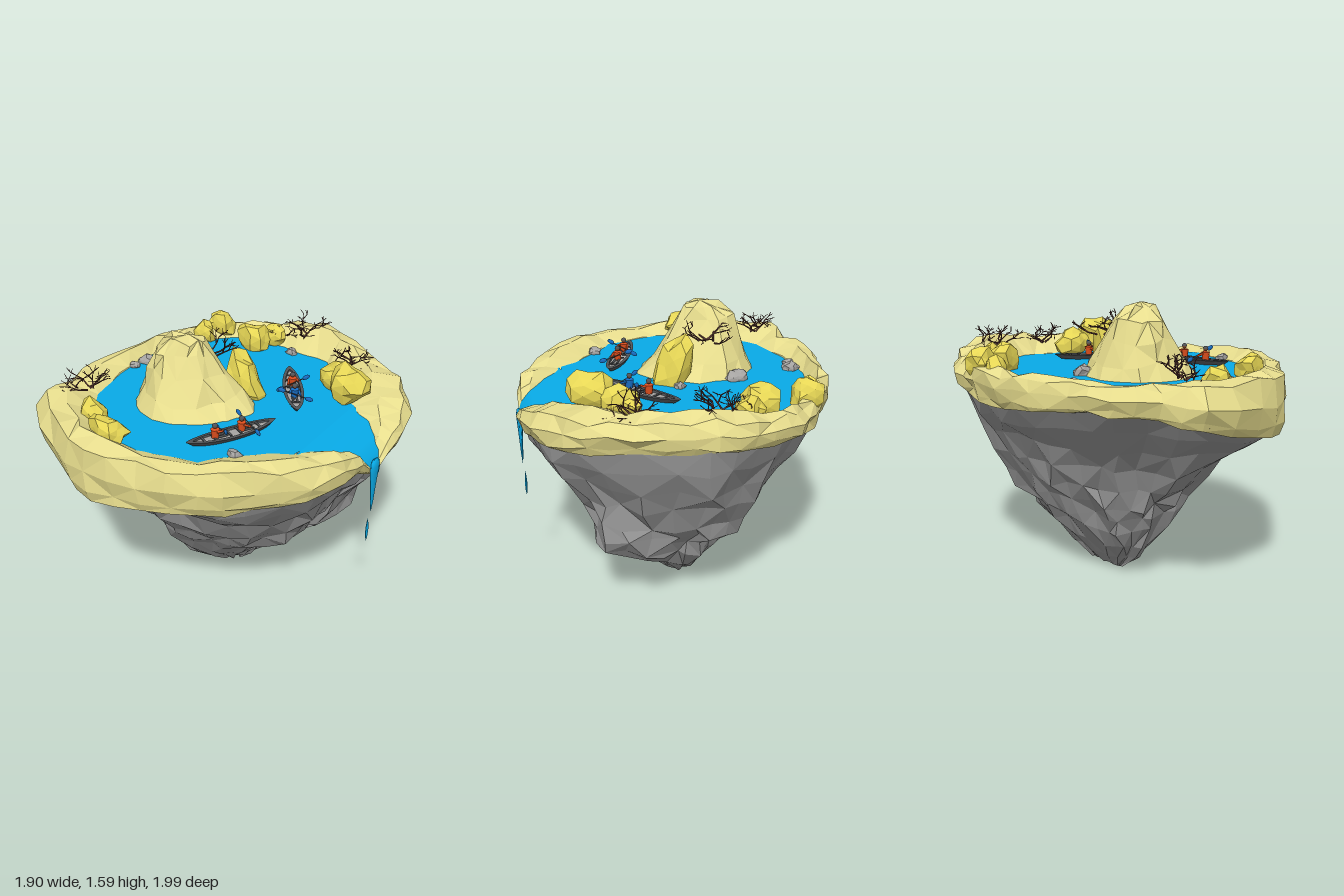
import * as THREE from 'three';
import { mergeGeometries } from 'three/addons/utils/BufferGeometryUtils.js';

const V = (x, y, z) => new THREE.Vector3(x, y, z);
const mat = (name, color) => Object.assign(new THREE.MeshStandardMaterial({ color }), { name });

let seed = 7;
const rand = () => (seed = (seed * 16807) % 2147483647) / 2147483647;
const jit = (a) => (rand() - 0.5) * 2 * a;

// Flat-faceted normals
function facet(g) {
  const out = g.index ? g.toNonIndexed() : g;
  out.computeVertexNormals();
  return out;
}

// Skin a stack of closed rings (inside/top first, outside/bottom last), optional end points
function loft(rings, start, end) {
  const n = rings[0].length, pos = [], idx = [];
  rings.flat().forEach((p) => pos.push(p.x, p.y, p.z));
  for (let j = 0; j < rings.length - 1; j++) for (let i = 0; i < n; i++) {
    const a = j * n + i, b = j * n + (i + 1) % n;
    if ((i + j) % 2) idx.push(a, b, a + n, b, b + n, a + n);
    else idx.push(a, b, b + n, a, b + n, a + n);
  }
  const cap = (c, base, flip) => {
    const k = pos.length / 3;
    pos.push(c.x, c.y, c.z);
    for (let i = 0; i < n; i++) {
      const a = base + i, b = base + (i + 1) % n;
      idx.push(...(flip ? [k, b, a] : [k, a, b]));
    }
  };
  if (start) cap(start, 0, true);
  if (end) cap(end, (rings.length - 1) * n, false);
  const g = new THREE.BufferGeometry();
  g.setAttribute('position', new THREE.Float32BufferAttribute(pos, 3));
  g.setIndex(idx);
  return g;
}

// Smoothly resample a closed list of pairs
function resample(pairs, n) {
  const c = new THREE.CatmullRomCurve3(pairs.map(([a, b]) => V(a, 0, b)), true);
  return Array.from({ length: n }, (_, i) => c.getPoint(i / n));
}

// Plan of the island: outer edge, shore, and [crest height, underside height], starting at the spout
const OUTER = [[.91, .02], [.9, .14], [.88, .28], [.78, .5], [.57, .71], [.35, .88], [.02, .95], [-.3, 1], [-.58, .91],
  [-.92, .68], [-.9, .45], [-.95, .2], [-.88, -.05], [-.84, -.28], [-.74, -.48], [-.62, -.66], [-.5, -.78], [-.36, -.9],
  [-.15, -.97], [.06, -1], [.32, -.9], [.58, -.76], [.78, -.62], [.9, -.42], [.94, -.24], [.94, -.08]];
const SHORE = [[.8, .02], [.74, .19], [.66, .28], [.5, .42], [.38, .55], [.22, .69], [0, .77], [-.25, .76], [-.45, .67],
  [-.62, .5], [-.69, .33], [-.73, .15], [-.74, -.05], [-.72, -.26], [-.66, -.42], [-.52, -.6], [-.4, -.7], [-.25, -.72],
  [-.1, -.7], [.06, -.68], [.22, -.67], [.32, -.56], [.42, -.43], [.55, -.3], [.68, -.22], [.78, -.12]];
const HEIGHT = [[1.05, .99], [1.19, 1.05], [1.22, 1.04], [1.23, 1.02], [1.25, 1], [1.26, .98], [1.25, .95], [1.26, .92],
  [1.27, .95], [1.28, 1.05], [1.26, 1.08], [1.27, 1.1], [1.28, 1.1], [1.28, 1.08], [1.27, 1.07], [1.28, 1.08], [1.27, 1.1],
  [1.28, 1.12], [1.31, 1.13], [1.33, 1.15], [1.33, 1.13], [1.3, 1.11], [1.28, 1.08], [1.26, 1.07], [1.22, 1.06], [1.16, 1.04]];

function sandRim() {
  const n = 52, o = resample(OUTER, n), s = resample(SHORE, n), h = resample(HEIGHT, n);
  const ring = (fn, j) => o.map((p, i) => {
    const [t, k, y] = fn(h[i].x, h[i].z);
    const q = s[i].clone().lerp(p, t).multiplyScalar(k);
    const a = i < 4 || i > 48 ? 0 : j;
    return V(q.x + jit(a), y + jit(a), q.z + jit(a));
  });
  return facet(loft([
    ring((c) => [0, .93, Math.min(1.1, c - .08)], 0),
    ring((c) => [0, 1, Math.min(1.2, c - .03)], .008),
    ring((c) => [.5, 1, c], .02),
    ring((c) => [.86, 1, c - .02], .02),
    ring((c, b) => [1, 1, b + (c - b) * .52], .014),
    ring((c, b) => [1, .98, b + (c - b) * .18], .015),
    ring((c, b) => [1, .96, b], .012),
    ring((c, b) => [1, .8, b + .03], 0),
  ]));
}

function rockBase() {
  const n = 38, o = resample(OUTER, n), h = resample(HEIGHT, n);
  // height, reach to +x, -x, +z, -z, then swelling of the (+x,-z) and (-x,+z) corners
  const levels = [[.86, .79, .68, .8, .85, .03, .02], [.72, .69, .6, .64, .78, .04, 0], [.59, .6, .55, .55, .69, .12, -.04],
    [.49, .54, .5, .47, .64, .24, -.06], [.41, .48, .46, .42, .55, .34, -.08], [.32, .31, .42, .36, .52, .24, -.12],
    [.2, .21, .36, .27, .4, .1, -.14], [.1, .13, .25, .18, .3, 0, -.08], [.02, .04, .17, .06, .2, 0, 0]];
  const top = o.map((p, i) => V(p.x * .955, h[i].z + .02, p.z * .955));
  const rings = levels.map(([y, xp, xn, zp, zn, k1, k2]) => {
    const a = Math.min(.025, .008 + y * .06);
    // the foot narrows into a diagonal ridge
    const f = Math.min(1, .5 + y * .9), grow = 1 / Math.sqrt((1 + f * f) / 2);
    const cx = (xp - xn) / 2, cz = (zp - zn) / 2;
    return o.map((p, i) => {
      const corner = -2 * p.x * p.z / (p.x * p.x + p.z * p.z);
      const swell = corner > 0 ? 1 + corner * corner * (p.x > 0 ? k1 : k2) : 1;
      const crag = swell * (1 + .025 * Math.sin(i * 1.1 + y * 9) + .015 * Math.sin(i * 2.3 - y * 14));
      const x = (p.x / .95 * (p.x > 0 ? xp : xn) * crag - cx) * grow;
      const z = (p.z * (p.z > 0 ? zp : zn) * crag - cz) * grow;
      const u = (x + z) / 2 * (1 - f);
      return V(cx + x - u + jit(a), Math.max(0, y + jit(a)), cz + z - u + jit(a));
    });
  });
  const mid = top.map((p, i) => {
    const q = p.clone().lerp(rings[0][i], .5);
    return V(q.x * 1.02 + jit(.015), q.y + jit(.02), q.z * 1.02 + jit(.015));
  });
  return facet(loft([top, mid, ...rings], null, V(-.06, .03, -.07)));
}

function centralMound() {
  const plan = resample([[.38, -.04], [.31, .1], [.2, .25], [-.04, .34], [-.25, .25], [-.36, .08],
    [-.35, -.12], [-.22, -.29], [.04, -.32], [.28, -.2]], 16);
  const rings = [[1.575, .25, -.05, 0], [1.51, .43, -.07, .01], [1.4, .58, -.055, 0], [1.28, .78, -.03, 0], [1.15, 1.05, 0, 0]]
    .map(([y, s, dx, dz]) => plan.map((p) =>
      V(-.16 + dx + p.x * s + jit(.02), y + jit(.018), .17 + dz + p.z * s + jit(.02))));
  return facet(loft(rings, V(-.2, 1.6, .17)));
}

// Rough boulder: sphere with corners pushed in and out by position
function boulder(k) {
  const g = new THREE.IcosahedronGeometry(1, 1), p = g.attributes.position, v = V(0, 0, 0);
  for (let i = 0; i < p.count; i++) {
    v.fromBufferAttribute(p, i);
    const w = Math.sin(Math.round(v.x * 50) * 1.7 + Math.round(v.y * 50) * 2.3 + Math.round(v.z * 50) * 3.1 + k * 5);
    v.multiplyScalar(.95 + w * .17);
    p.setXYZ(i, v.x, v.y, v.z);
  }
  return facet(g);
}

// Tapered rod between two points
function rod(a, b, r1, r2, sides = 5) {
  const d = b.clone().sub(a), g = new THREE.CylinderGeometry(r2, r1, d.length(), sides);
  g.applyQuaternion(new THREE.Quaternion().setFromUnitVectors(V(0, 1, 0), d.normalize()));
  const m = a.clone().add(b).multiplyScalar(.5);
  return g.translate(m.x, m.y, m.z);
}

// Bare branching shrub
function shrub() {
  const parts = [];
  const grow = (a, dir, len, r, depth) => {
    const b = a.clone().addScaledVector(dir, len);
    parts.push(rod(a, b, r, r * .7, 4));
    if (!depth) return;
    for (let i = 0; i < 2; i++) {
      const d = dir.clone().add(V(jit(1.1), jit(.6) + .08, jit(1.1))).normalize();
      grow(b, d, len * .82, r * .75, depth - 1);
    }
  };
  for (let i = 0; i < 6; i++) {
    const t = i * 1.047 + jit(.4);
    grow(V(jit(.04), 0, jit(.04)), V(Math.cos(t), .55 + jit(.4), Math.sin(t)).normalize(), .055, .0062, 3);
  }
  return mergeGeometries(parts);
}

export function createModel() {
  const root = new THREE.Group();
  root.name = 'floatingIsland';
  const sand = mat('sand', 0xe8de8e), ochre = mat('ochreStone', 0xe8d856), rock = mat('darkRock', 0x949494);
  const water = mat('water', 0x08ace9), twig = mat('twig', 0x5e3934), hullMat = mat('hull', 0x515457);
  const grey = mat('greyStone', 0xa6a4a2), vest = mat('vest', 0xe2501e), blue = mat('paddleBlue', 0x1a70c8);
  const skin = mat('skin', 0x7a4a32);
  water.side = THREE.DoubleSide;
  const add = (parent, name, geo, m, x = 0, y = 0, z = 0) => {
    const mesh = new THREE.Mesh(geo, m);
    mesh.name = name;
    mesh.position.set(x, y, z);
    parent.add(mesh);
    return mesh;
  };

  add(root, 'rockBase', rockBase(), rock);
  add(root, 'sandRim', sandRim(), sand);
  add(root, 'centralMound', centralMound(), sand);

  // Lake, sloping spout, waterfall and falling drop
  const lake = new THREE.Shape(resample(SHORE, 52).map((p) => new THREE.Vector2(Math.min(p.x * 1.04, .62), -p.z * 1.04)));
  add(root, 'lake', new THREE.ShapeGeometry(lake).rotateX(-Math.PI / 2), water, 0, 1.2, 0);
  const rows = [[.615, 1.2, -.31, .36], [.74, 1.183, -.23, .25], [.83, 1.155, -.14, .16], [.885, 1.11, -.08, .1],
    [.912, 1.06, -.035, .065], [.92, 1, -.02, .05]];
  const spout = new THREE.PlaneGeometry(1, 1, 6, rows.length - 1), sp = spout.attributes.position;
  for (let i = 0; i < sp.count; i++) {
    const [x, y, z0, z1] = rows[Math.floor(i / 7)];
    sp.setXYZ(i, x, y, z1 + (z0 - z1) * (i % 7) / 6);
  }
  spout.computeVertexNormals();
  add(root, 'spout', spout, water);
  const drip = (pts) => new THREE.LatheGeometry(pts.map(([r, y]) => new THREE.Vector2(r, y)), 12);
  add(root, 'waterfall', drip([[0, .75], [.016, .82], [.028, .92], [.042, 1.02], [.046, 1.06], [.035, 1.09], [0, 1.105]]),
    water, .91, 0, .02).scale.x = .38;
  add(root, 'waterDrop', drip([[0, .55], [.01, .59], [.012, .64], [.007, .68], [0, .71]]), water, .9, 0, .025).scale.x = .6;

  // Boulders and pebbles: x, y, z, radii, turn, lean
  [[.02, 1.28, -.05, .11, .19, .11, 0, .35], [.43, 1.26, -.42, .12, .1, .09, -.7, 0], [.565, 1.3, -.32, .13, .12, .11, -.6, 0],
    [-.28, 1.25, -.63, .12, .11, .1, .3, 0], [-.54, 1.28, -.65, .1, .09, .08, .2, 0], [-.6, 1.25, -.53, .08, .08, .06, 0, 0],
    [-.19, 1.26, -.72, .08, .08, .06, 0, 0], [-.5, 1.24, .65, .1, .08, .07, -.5, 0], [-.28, 1.27, .79, .13, .08, .08, 0, 0]]
    .forEach(([x, y, z, a, b, c, turn, lean], i) => {
      const m = add(root, 'boulder', boulder(i), ochre, x, y, z);
      m.scale.set(a, b, c);
      m.rotation.set(0, turn, lean);
    });
  [[-.7, -.06, .055], [-.72, .03, .035], [-.33, -.13, .07], [.36, .55, .045], [-.02, -.66, .04], [.02, -.17, .035], [-.36, .71, .035]]
    .forEach(([x, z, r], i) => add(root, 'pebble', boulder(i + 20), grey, x, 1.21, z).scale.set(r, r * .7, r * .8));

  // Shrubs
  [[-.69, 1.27, .5], [-.18, 1.41, -.04], [0, 1.29, -.78], [.4, 1.26, -.64], [-.14, 1.27, -.74]]
    .forEach(([x, y, z], i) => add(root, 'shrub', shrub(), twig, x, y, z).scale.setScalar(i === 4 ? .6 : 1));

  // Paddler facing local +z
  const paddler = (parent, z, tilt, top) => {
    const g = new THREE.Group();
    g.name = 'paddler';
    g.position.set(0, .015, z);
    parent.add(g);
    add(g, 'torso', new THREE.CylinderGeometry(.025, .02, .05, 8), top, 0, .035, 0);
    add(g, 'head', new THREE.SphereGeometry(.014, 10, 8), skin, 0, .078, 0);
    add(g, 'helmet', new THREE.SphereGeometry(.016, 10, 5, 0, Math.PI * 2, 0, Math.PI / 2), hullMat, 0, .08, 0);
    const paddle = new THREE.Group();
    paddle.name = 'paddle';
    paddle.position.set(0, .045, .04);
    paddle.rotation.set(0, tilt * .6, tilt);
    g.add(paddle);
    add(paddle, 'shaft', rod(V(-.08, 0, 0), V(.08, 0, 0), .003, .003), hullMat);
    for (const s of [-1, 1]) {
      add(paddle, 'blade', new THREE.SphereGeometry(.024, 8, 6), blue, s * .082, 0, 0).scale.set(1, .6, .3);
      add(g, 'arm', rod(V(s * .022, .052, 0), V(s * .03, .045 + s * .03 * Math.sin(tilt), .038), .008, .006), top);
      add(g, 'leg', rod(V(s * .01, .012, .01), V(s * .014, .012, .07), .008, .006), hullMat);
    }
  };

  // Pointed canoe with two paddlers
  const canoe = (x, z, dx, dz, seats) => {
    const g = new THREE.Group();
    g.name = 'canoe';
    g.position.set(x, 1.197, z);
    g.rotation.y = Math.atan2(dx, dz);
    root.add(g);
    const ring = (s, y, lift) => Array.from({ length: 28 }, (_, i) => {
      const t = i / 28 * Math.PI * 2, c = Math.cos(t), w = Math.sin(t);
      return V(w * Math.abs(w) ** .4 * .06 * s, y + lift * c * c, c * .272 * (.5 + s * .5));
    }).reverse();
    add(g, 'hull', facet(loft([ring(.66, .012, .008), ring(.7, .03, .008), ring(1, .028, .012), ring(.7, 0, .01)], null, V(0, 0, 0))), hullMat);
    add(g, 'floor', facet(loft([ring(.4, .014, .012), ring(.7, .016, .012)], V(0, .014, 0))), grey);
    for (const s of [-.17, -.11, -.02, .04, .16]) add(g, 'crossbar', new THREE.BoxGeometry(.07, .006, .012), hullMat, 0, .03, s);
    seats.forEach(([p, tilt, top]) => paddler(g, p, tilt, top));
  };
  canoe(.255, -.215, .31, .43, [[-.05, .35, vest], [.09, -.3, blue]]);
  canoe(.235, .39, .25, -.48, [[.06, .35, vest], [-.1, -.35, vest]]);
  return root;
}
